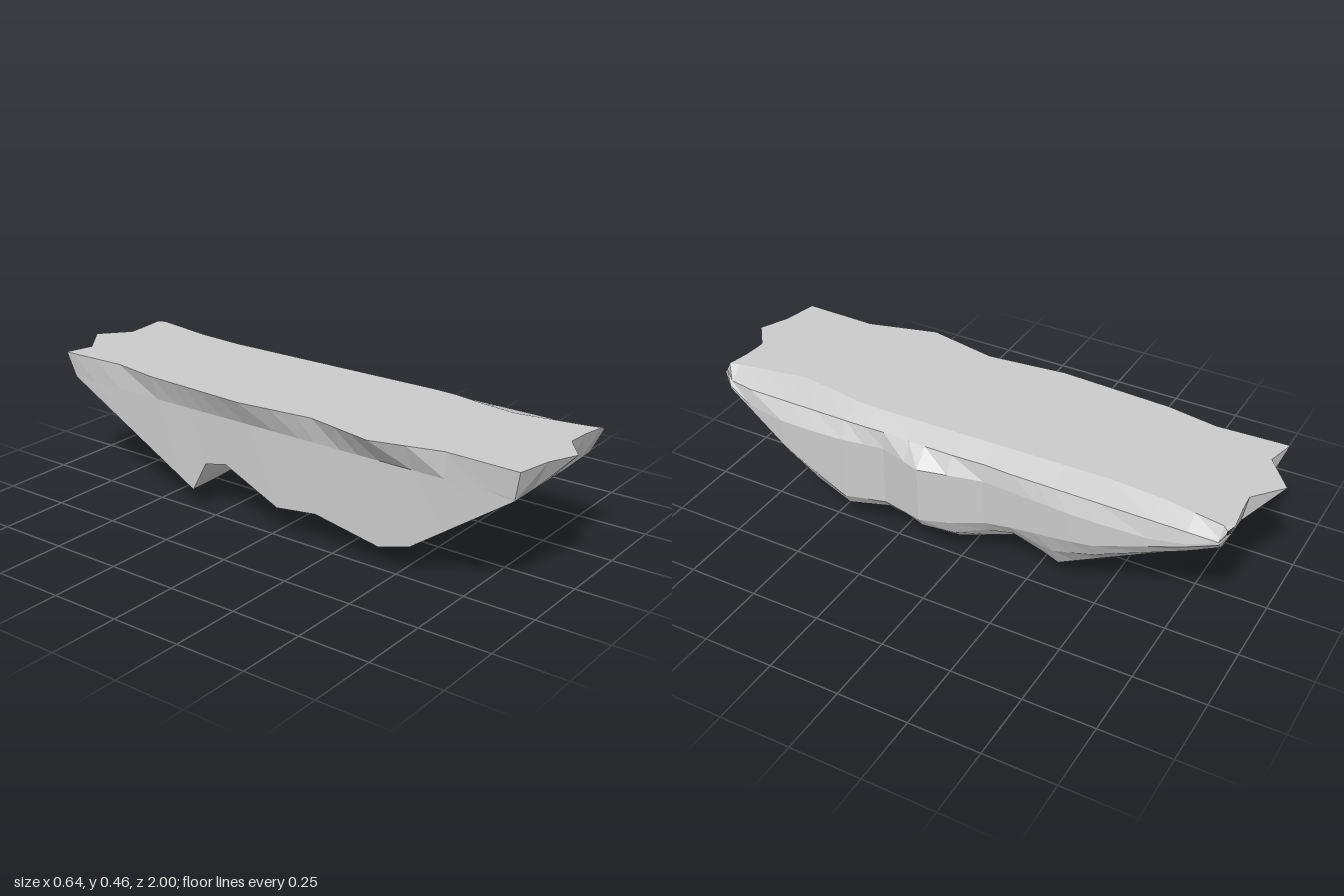
import * as THREE from 'three';

const TOP = 0.46;

// Where the cross-sections sit along z
const stationZ = [-0.9, -0.8, -0.68, -0.5, -0.41, -0.35, -0.29, -0.2, -0.1, 0.02,
  0.12, 0.18, 0.28, 0.35, 0.43, 0.55, 0.67, 0.82, 0.91];

// Piecewise-linear rule along z, given a few [z, value] points
function along(points) {
  return (z) => {
    const i = Math.max(1, points.findIndex(([pz]) => pz >= z));
    const [z0, v0] = points[i - 1], [z1, v1] = points[i];
    return THREE.MathUtils.mapLinear(z, z0, z1, v0, v1);
  };
}

// Plan edges: x of the left rim, the right rim and the bulging right side
const leftRim = along([[-0.9, -0.26], [-0.68, -0.25], [-0.5, -0.28], [-0.1, -0.3],
  [0.18, -0.27], [0.43, -0.32], [0.67, -0.255], [0.91, -0.26]]);
const rightRim = along([[-0.9, 0.23], [-0.6, 0.18], [0.4, 0.2], [0.65, 0.155], [0.91, 0.2]]);
const rightSide = along([[-0.9, 0.265], [-0.8, 0.28], [-0.45, 0.295], [-0.1, 0.275],
  [0.12, 0.325], [0.28, 0.277], [0.47, 0.305], [0.67, 0.305], [0.91, 0.265]]);

// Underside heights: left wall, middle, right, and foot of the right side
const leftBase = along([[-0.9, 0.37], [-0.35, 0.07], [-0.29, 0.18], [-0.2, 0.2],
  [0.02, 0.1], [0.18, 0.12], [0.43, 0.075], [0.55, 0.11], [0.91, 0.36]]);
const midBase = along([[-0.9, 0.37], [-0.35, 0.075], [-0.29, 0.12], [-0.1, 0.13], [0.02, 0.05],
  [0.12, 0.05], [0.18, 0.11], [0.28, 0.06], [0.43, 0], [0.55, 0.1], [0.91, 0.36]]);
const rightBase = along([[-0.9, 0.375], [-0.35, 0.09], [-0.2, 0.15], [0.02, 0.06],
  [0.18, 0.115], [0.43, 0.055], [0.55, 0.11], [0.91, 0.365]]);
const rightFoot = along([[-0.9, 0.39], [-0.5, 0.25], [-0.2, 0.2], [0.02, 0.15],
  [0.43, 0.11], [0.91, 0.38]]);

// Jagged rims of the two ends, x and z, from left to right
const backRim = [[-0.26, -0.93], [-0.16, -0.905], [-0.04, -1], [0.06, -0.915], [0.13, -0.92], [0.215, -0.93]];
const frontRim = [[-0.26, 0.93], [-0.14, 0.955], [-0.04, 1], [0.05, 0.93], [0.13, 0.935], [0.21, 0.95]];

// Cross-section: down the left wall, across the underside, up the right side
function section(z) {
  const mix = THREE.MathUtils.lerp;
  const l = leftBase(z), c = midBase(z), r = rightBase(z), foot = rightFoot(z), side = rightSide(z);
  return [
    [leftRim(z), TOP], [-0.252, Math.max(0.37, l + 0.01)], [-0.25, l],
    [-0.14, mix(l, c, 0.4)], [-0.04, c], [0.07, c], [0.16, mix(c, r, 0.7)], [0.22, r],
    [side - 0.025, mix(r, foot, 0.6)], [side, foot + 0.02],
    [side, Math.max(0.365, foot + 0.03)], [Math.min(side - 0.01, 0.27), 0.425], [rightRim(z), TOP],
  ].map(([x, y]) => [x, y, z]);
}

// Rim with the corner points repeated to match the section point count
function rimLoop(rim) {
  const p = rim.map(([x, z]) => [x, TOP, z]);
  const [x, , z] = p[5];
  const inner = z - 0.012 * Math.sign(z);
  return [p[0], p[0], p[0], p[1], p[2], p[3], p[4], p[5],
    [x + 0.02, 0.45, z], [x + 0.035, 0.445, inner],
    [x + 0.04, 0.45, inner], [x + 0.03, 0.455, inner], p[5]];
}

// Skin stretched over the back rim, all sections and the front rim
function createBody() {
  const loops = [rimLoop(backRim), ...stationZ.map(section), rimLoop(frontRim)];
  const n = loops[0].length;
  const index = [];
  for (let i = 0; i < loops.length - 1; i++) {
    for (let j = 0; j < n - 1; j++) {
      const a = i * n + j, d = a + n;
      index.push(a, a + 1, d + 1, a, d + 1, d);
    }
  }
  const geometry = new THREE.BufferGeometry();
  geometry.setAttribute('position', new THREE.Float32BufferAttribute(loops.flat(2), 3));
  geometry.setIndex(index);
  geometry.computeVertexNormals();
  return geometry;
}

// Flat top following the left edge, front rim, right edge and back rim
function createTop() {
  const outline = [
    ...stationZ.map((z) => [leftRim(z), z]), ...frontRim,
    ...stationZ.map((z) => [rightRim(z), z]).reverse(), ...[...backRim].reverse(),
  ];
  const shape = new THREE.Shape(outline.map(([x, z]) => new THREE.Vector2(x, -z)));
  return new THREE.ShapeGeometry(shape).rotateX(-Math.PI / 2).translate(0, TOP, 0);
}

export function createModel() {
  const group = new THREE.Group();
  group.name = 'rockLedge';
  const material = new THREE.MeshStandardMaterial({ color: 0xcccccc, flatShading: true });
  const body = new THREE.Mesh(createBody(), material);
  body.name = 'rockBody';
  const top = new THREE.Mesh(createTop(), material);
  top.name = 'flatTop';
  group.add(body, top);
  return group;
}
